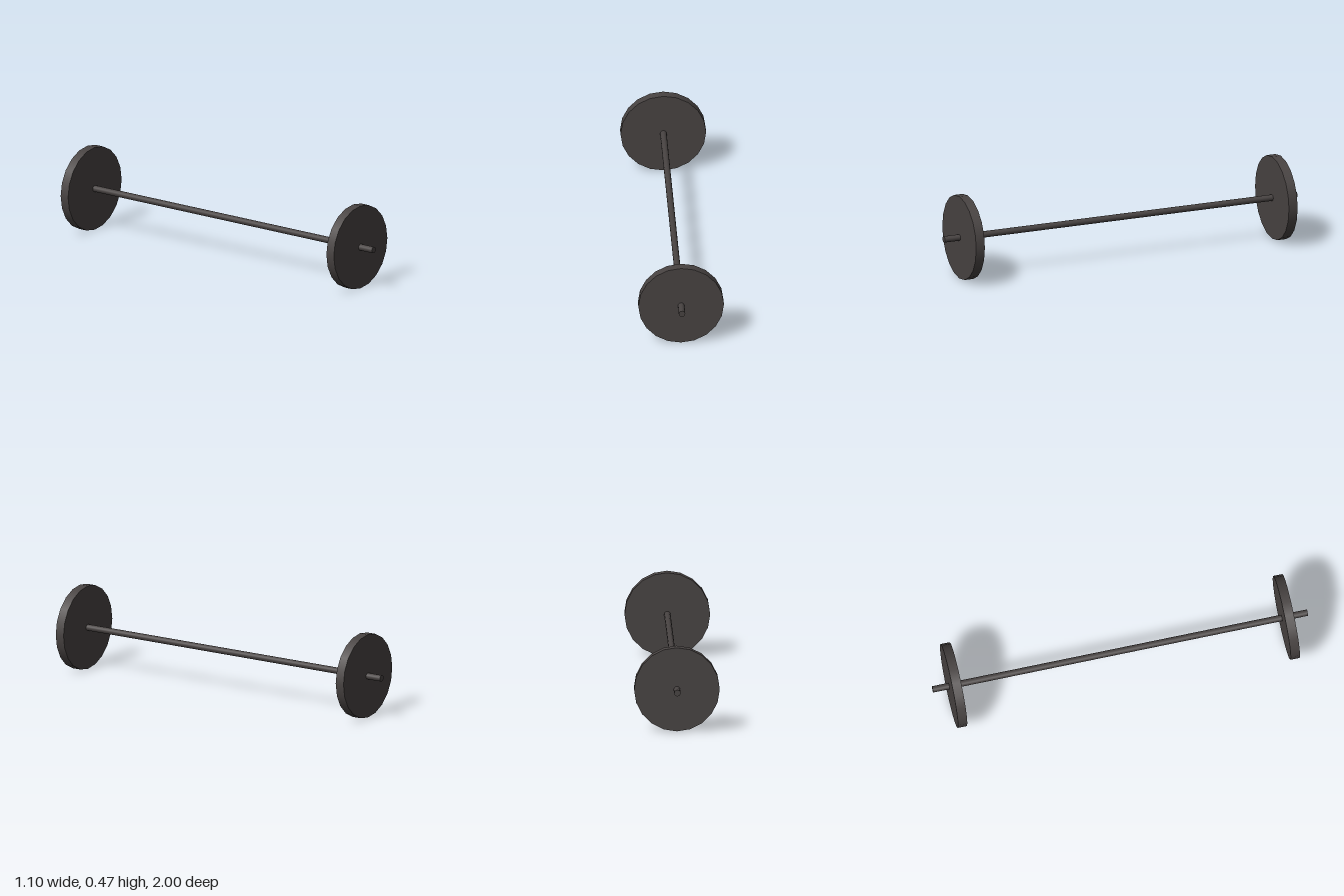
import * as THREE from 'three';

export function createModel() {
  const group = new THREE.Group();
  const darkIron = new THREE.MeshStandardMaterial({ color: 0x484342 });
  darkIron.name = 'darkIron';

  // Cylinder lying along the z axis
  const addRod = (name, radius, length, sides, z) => {
    const geometry = new THREE.CylinderGeometry(radius, radius, length, sides).rotateX(Math.PI / 2);
    const mesh = new THREE.Mesh(geometry, darkIron);
    mesh.name = name;
    mesh.position.z = z;
    barbell.add(mesh);
  };

  // Whole barbell, turned on the floor and resting on its plates
  const barbell = new THREE.Group();
  barbell.name = 'barbell';
  barbell.position.y = 0.236;
  barbell.rotation.y = THREE.MathUtils.degToRad(20);
  group.add(barbell);

  addRod('bar', 0.018, 2.114, 12, 0);
  addRod('frontPlate', 0.236, 0.052, 20, 0.938);
  addRod('backPlate', 0.236, 0.052, 20, -0.938);

  return group;
}
